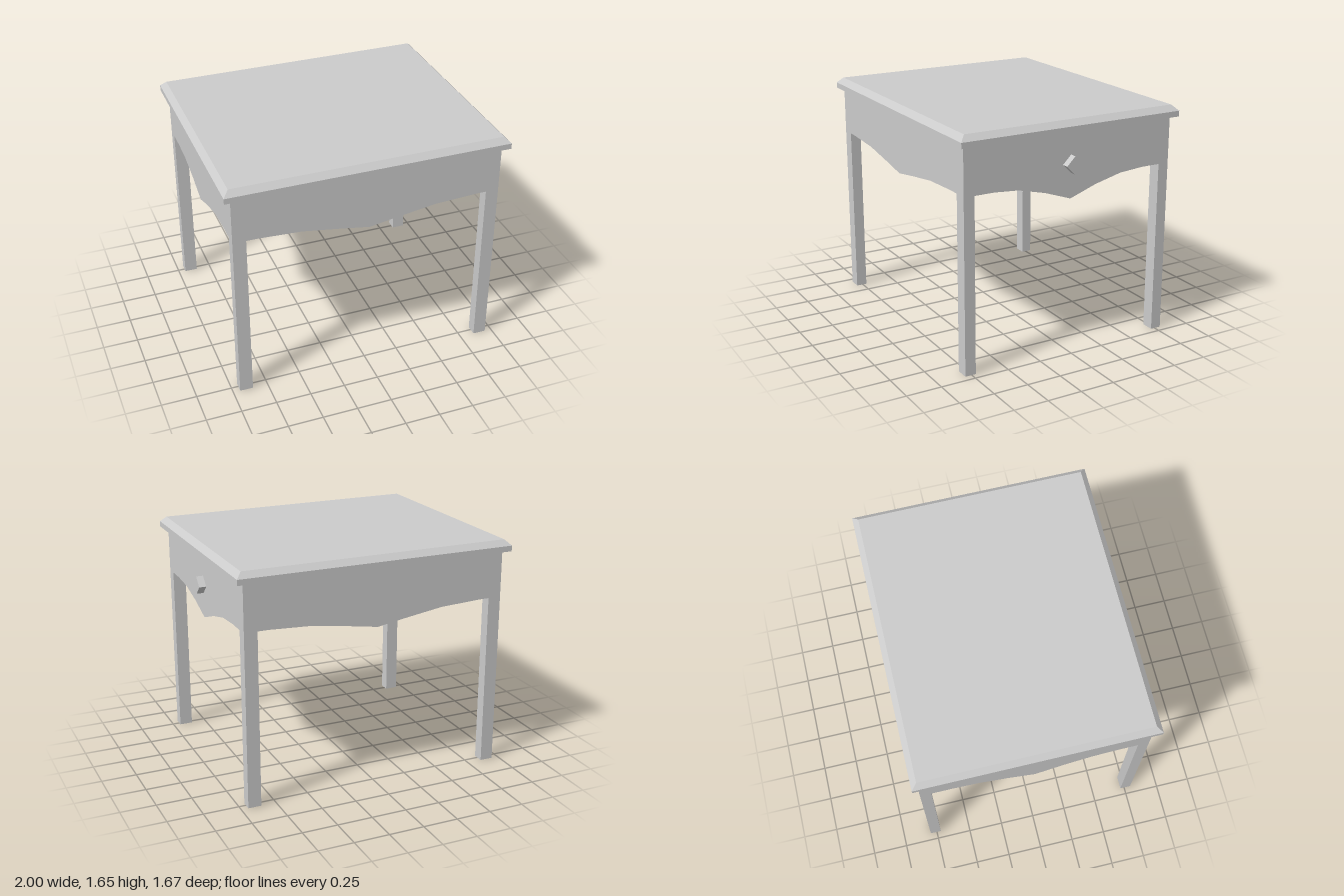
import * as THREE from 'three';

const material = new THREE.MeshStandardMaterial({ color: 0xcccccc, flatShading: true });

const HALF_X = 0.95, HALF_Z = 0.798;   // outer faces of the frame
const LEG_X = 0.093, LEG_Z = 0.078;    // leg section, also the apron thickness
const FRAME_TOP = 1.57;

function addPart(group, name, geometry, x = 0, y = 0, z = 0) {
  const mesh = new THREE.Mesh(geometry, material);
  mesh.name = name;
  mesh.position.set(x, y, z);
  group.add(mesh);
  return mesh;
}

// Apron board with a mirrored, stepped lower edge; profile runs from centre to end
function apronGeometry(profile, depth) {
  const end = profile[profile.length - 1][0];
  const lower = [
    ...profile.slice(1).reverse().map(([x, y]) => new THREE.Vector2(-x, y)),
    ...profile.map(([x, y]) => new THREE.Vector2(x, y)),
  ];
  const shape = new THREE.Shape([
    ...lower,
    new THREE.Vector2(end, FRAME_TOP),
    new THREE.Vector2(-end, FRAME_TOP),
  ]);
  return new THREE.ExtrudeGeometry(shape, { depth, bevelEnabled: false })
    .translate(0, 0, -depth / 2);
}

// Slab whose upper half slopes inwards
function tabletopGeometry(width, height, depth, inset) {
  const geometry = new THREE.BoxGeometry(width, height, depth, 1, 2, 1);
  const p = geometry.attributes.position;
  for (let i = 0; i < p.count; i++) {
    if (p.getY(i) > 0.001) {
      p.setX(i, p.getX(i) - Math.sign(p.getX(i)) * inset);
      p.setZ(i, p.getZ(i) - Math.sign(p.getZ(i)) * inset);
    }
  }
  const flat = geometry.toNonIndexed();
  flat.computeVertexNormals();
  return flat;
}

export function createModel() {
  const table = new THREE.Group();
  table.name = 'sideTable';

  addPart(table, 'tabletop', tabletopGeometry(2, 0.08, 1.674, 0.04), 0, FRAME_TOP + 0.04, 0);

  // Four square legs
  const leg = new THREE.BoxGeometry(LEG_X, FRAME_TOP, LEG_Z);
  for (const sx of [-1, 1]) {
    for (const sz of [-1, 1]) {
      const name = (sz > 0 ? 'front' : 'back') + (sx > 0 ? 'Left' : 'Right') + 'Leg';
      addPart(table, name, leg, sx * (HALF_X - LEG_X / 2), FRAME_TOP / 2, sz * (HALF_Z - LEG_Z / 2));
    }
  }

  // Front and back aprons
  const longApron = apronGeometry(
    [[0, 1.15], [0.2, 1.183], [0.48, 1.225], [0.78, 1.24], [HALF_X - LEG_X, 1.24]], LEG_Z);
  addPart(table, 'frontApron', longApron, 0, 0, HALF_Z - LEG_Z / 2);
  addPart(table, 'backApron', longApron, 0, 0, -HALF_Z + LEG_Z / 2);

  // Side aprons
  const shortApron = apronGeometry(
    [[0, 1.105], [0.2, 1.175], [0.4, 1.224], [0.58, 1.238], [HALF_Z - LEG_Z, 1.238]], LEG_X);
  for (const s of [-1, 1]) {
    const apron = addPart(table, s > 0 ? 'leftApron' : 'rightApron', shortApron, s * (HALF_X - LEG_X / 2), 0, 0);
    apron.rotation.y = Math.PI / 2;
  }

  // Diamond knob on the left apron
  const knob = addPart(table, 'knob', new THREE.BoxGeometry(0.05, 0.088, 0.088), HALF_X + 0.025, 1.345, 0);
  knob.rotation.x = Math.PI / 4;

  return table;
}
